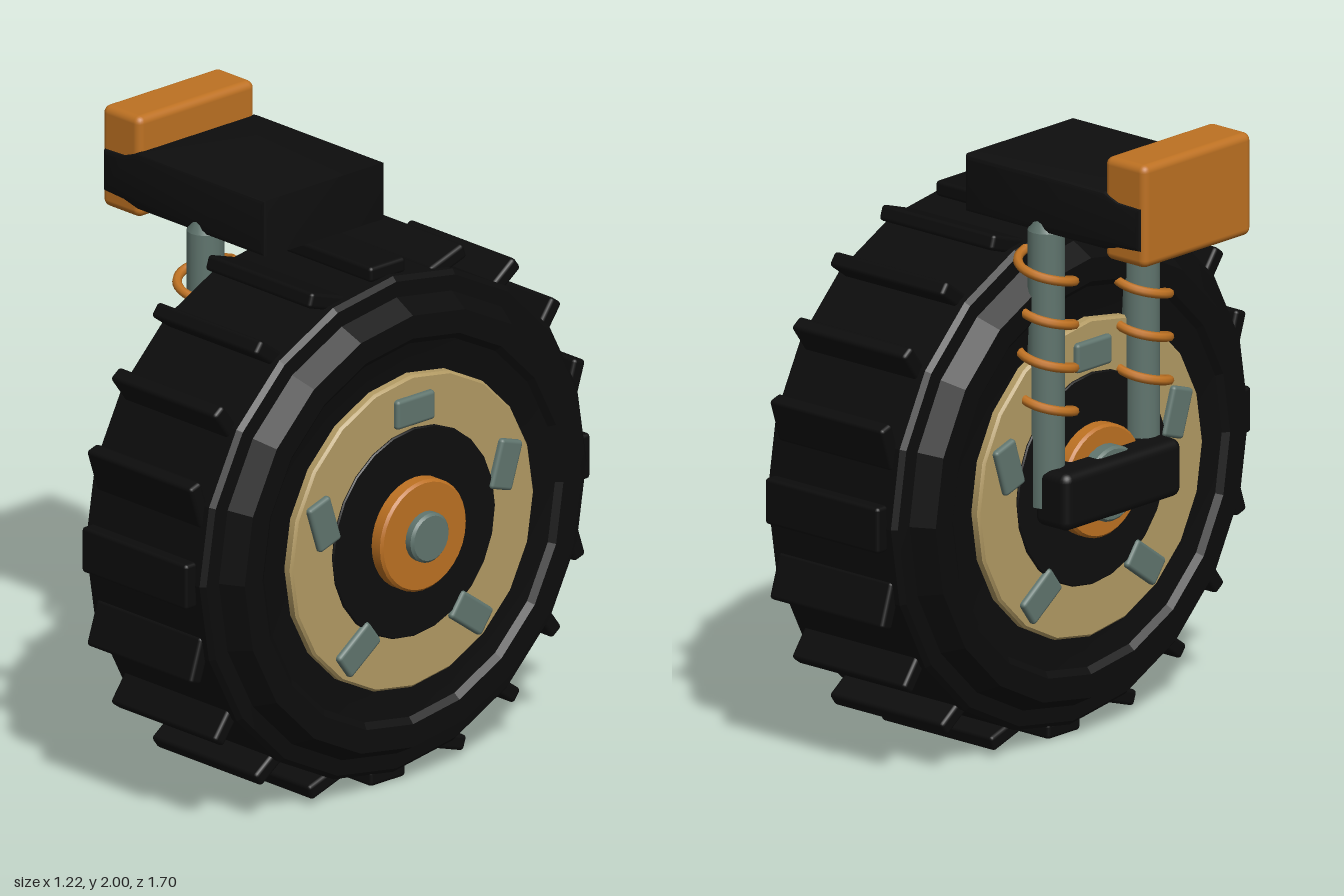
import * as THREE from 'three';
import { toCreasedNormals } from 'three/addons/utils/BufferGeometryUtils.js';
import { RoundedBoxGeometry } from 'three/addons/geometries/RoundedBoxGeometry.js';

const mat = (name, color) => {
  const m = new THREE.MeshStandardMaterial({ color });
  m.name = name;
  return m;
};

const AXLE_Y = 0.85, WHEEL_X = 0.18;

export function createModel() {
  const rubber = mat('black rubber', 0x0c0c0c);
  const frame = mat('black frame', 0x0e0e0e);
  const orange = mat('orange', 0xbd7122);
  const tan = mat('tan rim', 0xb39b64);
  const steel = mat('grey green steel', 0x60756e);

  const model = new THREE.Group();
  model.name = 'wheelAssembly';

  const add = (parent, name, geo, material, x = 0, y = 0, z = 0) => {
    const mesh = new THREE.Mesh(geo, material);
    mesh.name = name;
    mesh.position.set(x, y, z);
    parent.add(mesh);
    return mesh;
  };
  // Solid of revolution about the x axis; points are [radius, x]
  const turned = (points, segments, crease) => {
    const geo = new THREE.LatheGeometry(points.map(([r, x]) => new THREE.Vector2(r, x)), segments);
    geo.rotateZ(-Math.PI / 2);
    return toCreasedNormals(geo, crease);
  };
  // Disc with softly bevelled rims, half width h
  const disc = (r, h, segments, b = 0.008) => turned(
    [[0, -h], [r - b, -h], [r, -h + b], [r, h - b], [r - b, h], [0, h]], segments, 0.35);

  // Wheel, centred on its own axle
  const wheel = new THREE.Group();
  wheel.name = 'wheel';
  wheel.position.set(WHEEL_X, AXLE_Y, 0);
  model.add(wheel);

  // Tyre: half profile mirrored across the middle
  const half = [[0.45, 0.31], [0.53, 0.315], [0.61, 0.328], [0.63, 0.345],
    [0.705, 0.345], [0.745, 0.272], [0.795, 0.27], [0.81, 0.255]];
  const profile = [...half.map(([r, x]) => [r, -x]), ...half.slice().reverse()];
  add(wheel, 'tyre', turned(profile, 20, 0.2), rubber);

  // Tread lugs, turned against the direction of the wheel
  const lugGeo = new RoundedBoxGeometry(0.47, 0.05, 0.148, 2, 0.012);
  for (let i = 0; i < 20; i++) {
    const a = (i / 20) * Math.PI * 2;
    const lug = add(wheel, 'treadLug', lugGeo, rubber, 0, 0.823 * Math.cos(a), 0.823 * Math.sin(a));
    lug.rotation.x = -a;
  }

  // Rim and hub layers
  add(wheel, 'rim', disc(0.51, 0.345, 20), tan);
  add(wheel, 'hubPlate', disc(0.34, 0.352, 24, 0.004), frame);
  add(wheel, 'hubFlange', disc(0.18, 0.397, 32), orange);
  add(wheel, 'axleCap', disc(0.08, 0.2, 24), steel, 0.227);
  add(wheel, 'axleNut', disc(0.12, 0.12, 24), steel, -0.32);

  // Five rim blocks on each side
  const blockGeo = new RoundedBoxGeometry(0.05, 0.095, 0.16, 2, 0.012);
  for (const side of [-1, 1]) {
    for (let i = 0; i < 5; i++) {
      const a = (i / 5) * Math.PI * 2;
      const block = add(wheel, 'rimBlock', blockGeo, steel,
        side * 0.338, 0.4 * Math.cos(a), 0.4 * Math.sin(a));
      block.rotation.x = -a;
    }
  }

  // Pair of shock absorbers with coil springs
  const shockX = -0.175;
  const tubeProfile = [[0, 0.82], [0.058, 0.82], [0.058, 1.7], [0.035, 1.745], [0, 1.745]]
    .map(([r, y]) => new THREE.Vector2(r, y));
  const tubeGeo = toCreasedNormals(new THREE.LatheGeometry(tubeProfile, 16), 0.45);
  const coil = [];
  for (let i = 0; i <= 64; i++) {
    const a = -Math.PI / 2 + (i / 16) * Math.PI * 2;
    coil.push(new THREE.Vector3(-0.087 * Math.sin(a), 1.063 + 0.139 * (i / 16), 0.087 * Math.cos(a)));
  }
  const coilGeo = new THREE.TubeGeometry(new THREE.CatmullRomCurve3(coil), 128, 0.015, 8);
  const capGeo = new THREE.SphereGeometry(0.015, 8, 6);
  for (const side of [-1, 1]) {
    const shock = new THREE.Group();
    shock.name = 'shockAbsorber';
    shock.position.set(shockX, 0, side * 0.215);
    model.add(shock);
    add(shock, 'shockTube', tubeGeo, steel);
    add(shock, 'coilSpring', coilGeo, orange);
    for (const p of [coil[0], coil[64]]) add(shock, 'springEnd', capGeo, orange, p.x, p.y, p.z);
  }

  // Lower bar joining the shocks to the axle
  add(model, 'lowerBar', new RoundedBoxGeometry(0.14, 0.185, 0.53, 3, 0.03), frame, -0.235, 0.853, 0);

  // Upper arm: stepped side outline with a small bevel
  const b = 0.015;
  const outline = [[0.115, 1.715], [0.115, 1.87], [-0.44, 1.87], [-0.5, 1.848],
    [-0.58, 1.845], [-0.58, 1.735], [-0.5, 1.73], [-0.44, 1.715]].reverse();
  const armGeo = new THREE.ExtrudeGeometry(
    new THREE.Shape(outline.map(([x, y]) => new THREE.Vector2(x, y))),
    { depth: 0.48, bevelThickness: b, bevelSize: b, bevelSegments: 2 });
  armGeo.translate(0, 0, -0.24);
  add(model, 'upperArm', toCreasedNormals(armGeo, 0.5), frame);

  // Mounting block at the end of the arm
  add(model, 'mountBlock', new RoundedBoxGeometry(0.17, 0.33, 0.49, 3, 0.025), orange, -0.525, 1.832, 0);

  return model;
}
